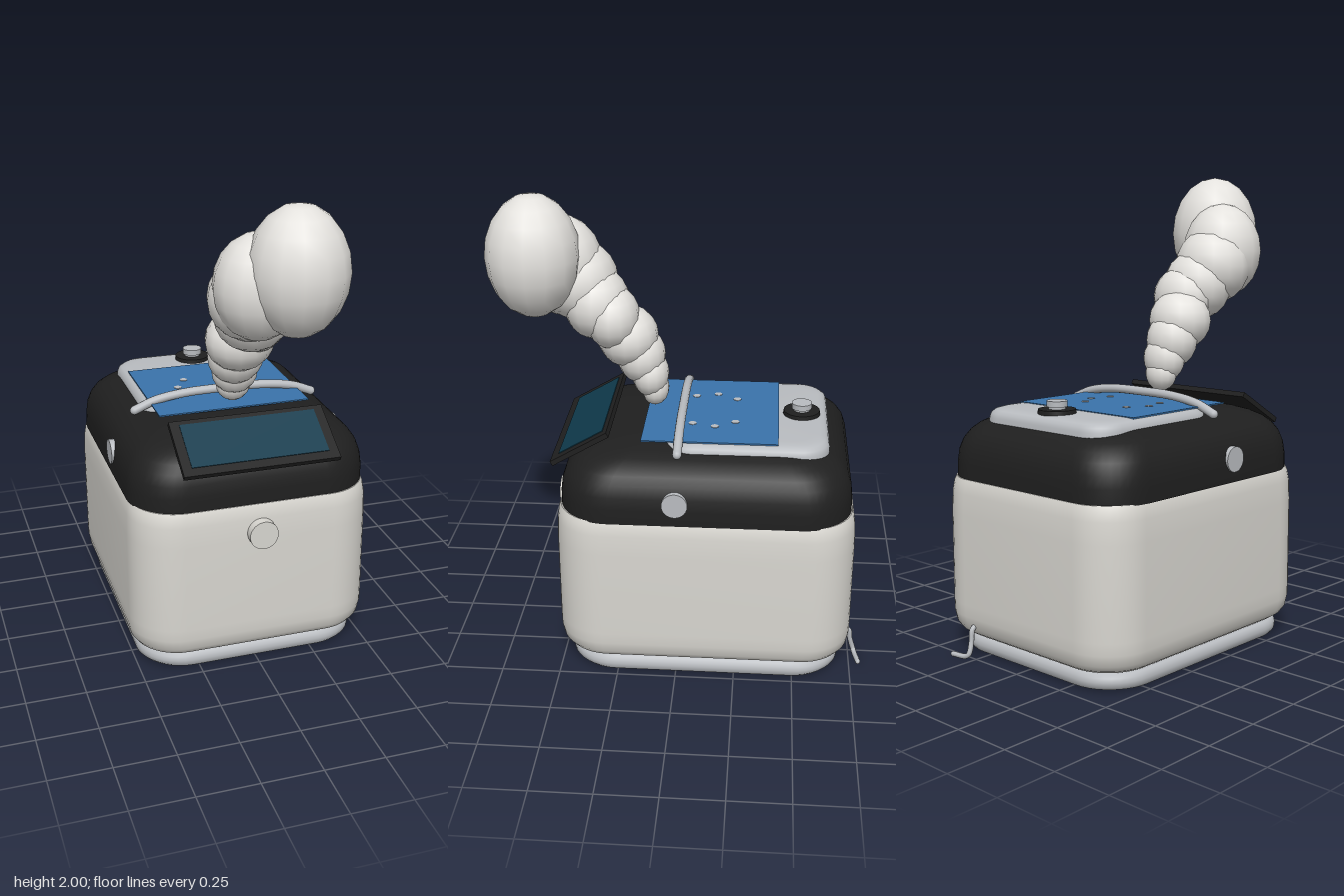
import * as THREE from 'three';
import { toCreasedNormals } from 'three/addons/utils/BufferGeometryUtils.js';

const CENTER_Z = -0.1175;

function paint(name, color) {
  const m = new THREE.MeshStandardMaterial({ color });
  m.name = name;
  return m;
}

// Rounded-rectangle outline in the xz plane
function outline(hx, hz, r, steps = 10) {
  const pts = [];
  const signs = [[1, 1], [-1, 1], [-1, -1], [1, -1]];
  signs.forEach(([sx, sz], q) => {
    for (let i = 0; i <= steps; i++) {
      const a = (q + i / steps) * Math.PI / 2;
      pts.push([sx * (hx - r) + r * Math.cos(a), sz * (hz - r) + r * Math.sin(a)]);
    }
  });
  return pts;
}

// Stack of inset outlines, closed at both ends; levels are [y, inset]
function loft(hx, hz, radius, levels) {
  const pos = [], idx = [];
  let n = 0;
  levels.forEach(([y, d]) => {
    const r = Math.min(Math.max(radius - d * 0.35, 0.03), hx - d, hz - d);
    const ring = outline(hx - d, hz - d, r);
    n = ring.length;
    ring.forEach(([x, z]) => pos.push(x, y, z));
  });
  const last = (levels.length - 1) * n;
  const bottom = levels.length * n, top = bottom + 1;
  pos.push(0, levels[0][0], 0, 0, levels[levels.length - 1][0], 0);
  for (let i = 0; i < n; i++) {
    const j = (i + 1) % n;
    for (let k = 0; k < last; k += n) {
      idx.push(k + i, k + n + i, k + j, k + j, k + n + i, k + n + j);
    }
    idx.push(bottom, i, j, top, last + j, last + i);
  }
  const g = new THREE.BufferGeometry();
  g.setAttribute('position', new THREE.Float32BufferAttribute(pos, 3));
  g.setIndex(idx);
  return toCreasedNormals(g, 0.7);
}

export function createModel() {
  const model = new THREE.Group();
  model.name = 'riceCooker';

  const shell = paint('shell', 0xd8d6d0);
  const silver = paint('silver', 0xb9bcc0);
  const black = paint('black', 0x1f1f1f);
  const blue = paint('blue', 0x3a73ab);
  const teal = paint('teal', 0x0f3a4c);
  const steamWhite = paint('steamWhite', 0xe4e2de);

  function add(name, geometry, material, x = 0, y = 0, z = 0, parent = model) {
    const mesh = new THREE.Mesh(geometry, material);
    mesh.name = name;
    mesh.position.set(x, y, z);
    parent.add(mesh);
    return mesh;
  }

  // Base, body and domed lid
  add('base', loft(0.485, 0.5825, 0.2, [
    [0.005, 0.03], [0.012, 0.012], [0.025, 0.002], [0.043, 0], [0.06, 0.003],
    [0.072, 0.012], [0.08, 0.035], [0.1, 0.05],
  ]), silver, 0, 0, CENTER_Z);
  add('body', loft(0.52, 0.6275, 0.2, [
    [0.078, 0.075], [0.083, 0.05], [0.1, 0.025], [0.125, 0.009], [0.17, 0.001], [0.22, 0],
    [0.6, 0], [0.69, 0.003], [0.73, 0.009], [0.75, 0.017],
  ]), shell, 0, 0, CENTER_Z);
  add('lid', loft(0.51, 0.6075, 0.21, [
    [0.745, 0], [0.81, 0.001], [0.86, 0.007], [0.905, 0.022], [0.94, 0.045], [0.967, 0.075],
    [0.988, 0.115], [1.004, 0.165], [1.017, 0.23], [1.025, 0.31], [1.03, 0.44],
  ]), black, 0, 0, CENTER_Z);

  // Silver panel and blue plate on the lid
  add('topPanel', loft(0.36, 0.345, 0.12, [
    [0.97, 0], [1.0, 0.001], [1.018, 0.007], [1.03, 0.02], [1.036, 0.04], [1.038, 0.07],
  ]), silver, 0, 0, -0.28);
  add('bluePlate', new THREE.BoxGeometry(0.66, 0.006, 0.565), blue, 0, 1.038, -0.13);

  // Small vent dots, mirrored
  for (const s of [-1, 1]) {
    for (const [x, z] of [[0.12, -0.23], [0.17, -0.145], [0.145, -0.05]]) {
      add('ventDot', new THREE.CylinderGeometry(0.017, 0.017, 0.004, 12), silver, s * x, 1.041, z);
    }
  }

  // Steam valve
  const valve = new THREE.Group();
  valve.name = 'steamValve';
  valve.position.set(0, 1.03, -0.51);
  model.add(valve);
  add('valveRing', new THREE.CylinderGeometry(0.077, 0.08, 0.024, 32), black, 0, 0.012, 0, valve);
  add('valveStem', new THREE.CylinderGeometry(0.035, 0.035, 0.04, 24), silver, 0, 0.035, 0, valve);
  add('valveCap', new THREE.CylinderGeometry(0.043, 0.043, 0.024, 24), silver, 0, 0.046, 0, valve);

  // Arched carry handle
  const arch = new THREE.CatmullRomCurve3([
    [-0.4, 1.015], [-0.31, 1.05], [-0.18, 1.07], [0, 1.074], [0.18, 1.07], [0.31, 1.05], [0.4, 1.015],
  ].map(([x, y]) => new THREE.Vector3(x, y, 0)));
  add('handle', new THREE.TubeGeometry(arch, 40, 0.019, 12), silver, 0, 0, -0.003);
  for (const s of [-1, 1]) {
    add('handleEnd', new THREE.SphereGeometry(0.019, 12, 8), silver, s * 0.4, 1.015, -0.003);
    const pivot = add('handlePivot', new THREE.CylinderGeometry(0.053, 0.053, 0.03, 28), silver, s * 0.501, 0.84, 0);
    pivot.rotation.z = Math.PI / 2;
  }

  // Tilted display
  const display = new THREE.Group();
  display.name = 'display';
  display.position.set(0, 0.99, 0.408);
  display.rotation.x = 0.53;
  model.add(display);
  add('displayFrame', new THREE.BoxGeometry(0.66, 0.022, 0.275), black, 0, 0, 0, display);
  add('displayScreen', new THREE.BoxGeometry(0.58, 0.006, 0.215), teal, 0, 0.011, -0.008, display);

  // Front button
  const button = add('frontButton', new THREE.CylinderGeometry(0.061, 0.061, 0.05, 32), shell, 0, 0.63, 0.521);
  button.rotation.x = Math.PI / 2;

  // Power cord at the back
  const cord = new THREE.CatmullRomCurve3([
    [0.275, 0.14, -0.72], [0.273, 0.125, -0.748], [0.27, 0.075, -0.757], [0.27, 0.025, -0.772],
    [0.285, 0.014, -0.777], [0.35, 0.012, -0.79],
  ].map((p) => new THREE.Vector3(...p)));
  add('powerCord', new THREE.TubeGeometry(cord, 32, 0.011, 8), silver);
  add('cordEnd', new THREE.SphereGeometry(0.011, 8, 6), silver, 0.35, 0.012, -0.79);

  // Steam plume: overlapping puffs growing as they rise
  const steam = new THREE.Group();
  steam.name = 'steam';
  model.add(steam);
  const puffs = [
    [0, 1.14, 0.12, 0.075, 0.075, 0.06],
    [0, 1.205, 0.14, 0.1, 0.1, 0.08],
    [-0.01, 1.285, 0.18, 0.12, 0.12, 0.105],
    [-0.01, 1.37, 0.235, 0.145, 0.13, 0.13],
    [0.025, 1.465, 0.295, 0.145, 0.135, 0.115],
    [0, 1.52, 0.365, 0.16, 0.155, 0.14],
    [-0.03, 1.605, 0.435, 0.175, 0.17, 0.16],
    [-0.025, 1.67, 0.51, 0.18, 0.21, 0.175],
    [0.097, 1.745, 0.605, 0.2, 0.255, 0.195],
  ];
  puffs.forEach(([x, y, z, rx, ry, rz]) => {
    const puff = add('steamPuff', new THREE.SphereGeometry(1, 14, 10), steamWhite, x, y, z, steam);
    puff.scale.set(rx, ry, rz);
  });

  return model;
}
